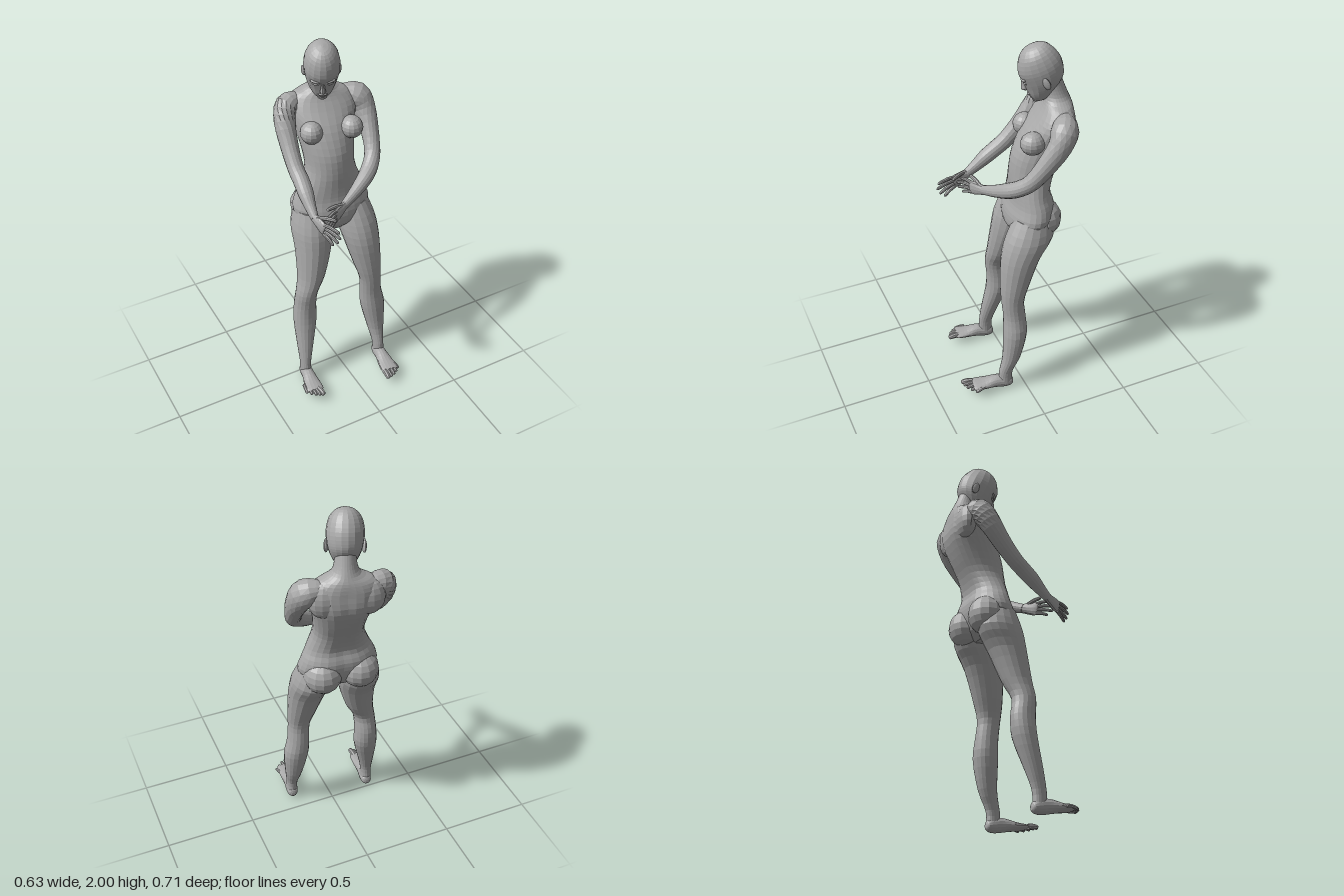
import * as THREE from 'three';

const body = new THREE.MeshStandardMaterial({ color: 0xa8a8a8 });
body.name = 'plain grey';

// Catmull-Rom blend of section rows
function refine(rows, k) {
  const out = [], n = rows.length - 1;
  for (let i = 0; i < n; i++) {
    const [a, b, c, d] = [rows[Math.max(i - 1, 0)], rows[i], rows[i + 1], rows[Math.min(i + 2, n)]];
    for (let s = 0; s < k; s++) {
      const t = s / k;
      out.push(b.map((q, j) => q + 0.5 * t * (c[j] - a[j] + t * (2 * a[j] - 5 * q + 4 * c[j] - d[j]
        + t * (3 * (q - c[j]) + d[j] - a[j])))));
    }
  }
  out.push(rows[n]);
  return out;
}

// Flat-shaded skin over elliptical sections [x, y, z, ru, rv, yaw].
// level: sections stay horizontal (listed top down); otherwise they follow the path.
function loft(name, rows, { sides = 16, steps = 3, level = false, shape = null } = {}) {
  const R = refine(rows, steps), P = R.map(r => new THREE.Vector3(r[0], r[1], r[2]));
  const pos = [], idx = [], up = new THREE.Vector3(0, 1, 0);
  R.forEach((r, i) => {
    const u = new THREE.Vector3(1, 0, 0), v = new THREE.Vector3(0, 0, 1);
    if (level) {
      const a = r[5] || 0;
      u.set(Math.cos(a), 0, Math.sin(a));
      v.set(-Math.sin(a), 0, Math.cos(a));
    } else {
      const t = P[Math.min(i + 1, P.length - 1)].clone().sub(P[Math.max(i - 1, 0)]).normalize();
      u.crossVectors(up, t).normalize();
      v.crossVectors(t, u);
    }
    for (let j = 0; j < sides; j++) {
      const th = j / sides * Math.PI * 2, f = shape ? shape(th, r[1]) : 1;
      const q = P[i].clone().addScaledVector(u, Math.cos(th) * Math.max(r[3], 0.001))
        .addScaledVector(v, Math.sin(th) * Math.max(r[4], 0.001) * f);
      pos.push(q.x, q.y, q.z);
    }
  });
  const last = (R.length - 1) * sides, c0 = pos.length / 3;
  pos.push(...P[0].toArray(), ...P[P.length - 1].toArray());
  for (let j = 0; j < sides; j++) {
    const k = (j + 1) % sides;
    for (let o = 0; o < last; o += sides) {
      idx.push(o + j, o + k, o + sides + j, o + k, o + sides + k, o + sides + j);
    }
    idx.push(c0, k, j, c0 + 1, last + j, last + k);
  }
  const g = new THREE.BufferGeometry();
  g.setAttribute('position', new THREE.Float32BufferAttribute(pos, 3));
  g.setIndex(idx);
  return flat(name, g);
}

function flat(name, geometry) {
  const g = geometry.index ? geometry.toNonIndexed() : geometry;
  g.computeVertexNormals();
  const m = new THREE.Mesh(g, body);
  m.name = name;
  return m;
}

function blob(name, p, s, yaw = 0) {
  const m = flat(name, new THREE.SphereGeometry(1, 14, 10));
  m.position.set(...p);
  m.scale.set(...s);
  m.rotation.y = yaw;
  return m;
}

// Finger or toe: slim tube with a rounded tip
function digit(name, a, b, r, bend) {
  const at = (t, k) => [...a.map((q, i) => q + (b[i] - q) * t + (i === 1 ? bend * Math.sin(Math.PI * t) : 0)), r * k, r * k];
  return loft(name, [at(0, 1), at(0.45, 1), at(0.85, 0.88), at(0.96, 0.65), at(1, 0.15)], { sides: 8, steps: 2 });
}

function makeHead() {
  const head = new THREE.Group();
  head.name = 'head';
  head.add(loft('skull', [
    [0, 0.17, -0.005, 0.006, 0.006], [0, 0.158, -0.004, 0.045, 0.055], [0, 0.12, 0, 0.078, 0.09],
    [0, 0.06, 0.003, 0.092, 0.112], [0, 0.005, 0.003, 0.089, 0.108], [0, -0.035, 0.01, 0.08, 0.098],
    [0, -0.075, 0.03, 0.064, 0.077], [0, -0.108, 0.046, 0.043, 0.052], [0, -0.124, 0.06, 0.016, 0.02],
  ], { level: true, sides: 18 }));
  head.add(loft('nose', [
    [0, 0.022, 0.1, 0.008, 0.01], [0, -0.01, 0.112, 0.01, 0.013],
    [0, -0.034, 0.116, 0.016, 0.018], [0, -0.046, 0.108, 0.012, 0.01],
  ], { level: true, sides: 10 }));
  head.add(blob('upperLip', [0, -0.067, 0.104], [0.024, 0.007, 0.01]));
  head.add(blob('lowerLip', [0, -0.079, 0.1], [0.02, 0.007, 0.01]));
  head.add(blob('chin', [0, -0.108, 0.082], [0.026, 0.018, 0.02]));
  for (const s of [-1, 1]) {
    head.add(blob('brow', [s * 0.036, 0.026, 0.1], [0.03, 0.008, 0.01], s * 0.35));
    head.add(blob('eye', [s * 0.036, 0.006, 0.098], [0.018, 0.008, 0.008], s * 0.35));
    head.add(blob('ear', [s * 0.09, -0.012, -0.008], [0.01, 0.034, 0.02], s * -0.4));
  }
  head.position.set(0.012, 1.84, -0.185);
  head.rotation.set(0.38, -0.42, 0, 'YXZ');
  return head;
}

export function createModel() {
  const model = new THREE.Group();
  model.name = 'figure';
  model.add(makeHead());

  // Neck, trunk and pelvis, with a groove along the spine
  const spine = (th, y) => {
    const d = (th - Math.PI * 1.5) / 0.3;
    return 1 - 0.1 * Math.exp(-d * d) * THREE.MathUtils.smoothstep(1.72 - y, 0, 0.1);
  };
  model.add(loft('torso', [
    [0.02, 1.84, -0.21, 0.05, 0.056, 0.3], [0.03, 1.77, -0.232, 0.054, 0.058, 0.3],
    [0.035, 1.72, -0.245, 0.075, 0.066, 0.25], [0.035, 1.68, -0.248, 0.15, 0.08, 0.25],
    [0.035, 1.62, -0.235, 0.185, 0.105, 0.24], [0.03, 1.53, -0.205, 0.163, 0.138, 0.2],
    [0.025, 1.42, -0.157, 0.14, 0.14, 0.15], [0.02, 1.315, -0.122, 0.134, 0.12, 0.12],
    [0.017, 1.22, -0.106, 0.166, 0.106, 0.1], [0.015, 1.15, -0.112, 0.198, 0.118, 0.1],
    [0.015, 1.08, -0.1, 0.213, 0.125, 0.1], [0.015, 1.01, -0.085, 0.17, 0.11, 0.1],
    [0.015, 0.965, -0.075, 0.06, 0.07, 0.1],
  ], { level: true, sides: 28, shape: spine }));
  model.add(blob('chestRight', [-0.08, 1.528, -0.125], [0.06, 0.06, 0.062], -0.3));
  model.add(blob('chestLeft', [0.125, 1.532, -0.077], [0.06, 0.06, 0.065], -0.1));
  model.add(blob('shoulderBladeRight', [-0.065, 1.59, -0.295], [0.085, 0.1, 0.055], -0.25));
  model.add(blob('shoulderBladeLeft', [0.145, 1.59, -0.25], [0.085, 0.1, 0.055], -0.25));
  model.add(blob('buttockRight', [-0.085, 1.06, -0.165], [0.102, 0.105, 0.1], -0.1));
  model.add(blob('buttockLeft', [0.115, 1.06, -0.145], [0.102, 0.105, 0.1], -0.1));

  // Legs, top down
  model.add(loft('leftLeg', [
    [0.125, 1.09, -0.09, 0.09, 0.1], [0.14, 0.98, -0.06, 0.107, 0.13], [0.15, 0.865, -0.005, 0.1, 0.108],
    [0.168, 0.7, 0.037, 0.077, 0.08], [0.18, 0.6, 0.053, 0.061, 0.063], [0.188, 0.5, 0.047, 0.062, 0.062],
    [0.202, 0.39, 0.05, 0.07, 0.066], [0.212, 0.23, 0.073, 0.048, 0.052],
    [0.212, 0.125, 0.108, 0.031, 0.04], [0.215, 0.05, 0.113, 0.032, 0.04],
  ], { level: true, sides: 18 }));
  model.add(loft('rightLeg', [
    [-0.1, 1.09, -0.105, 0.09, 0.1], [-0.11, 0.98, -0.095, 0.107, 0.128], [-0.12, 0.865, -0.055, 0.1, 0.103],
    [-0.152, 0.7, -0.02, 0.077, 0.08], [-0.188, 0.6, -0.005, 0.061, 0.064], [-0.195, 0.5, -0.018, 0.062, 0.066],
    [-0.2, 0.39, -0.012, 0.066, 0.063], [-0.222, 0.23, 0.025, 0.045, 0.05],
    [-0.234, 0.125, 0.047, 0.031, 0.04], [-0.234, 0.045, 0.05, 0.032, 0.04],
  ], { level: true, sides: 18 }));

  // Feet: side, heel, ball, first and last toe tip
  const feet = [
    ['left', [0.218, 0.045, 0.075], [0.188, 0.064, 0.285], [0.145, 0.066, 0.355], [0.24, 0.052, 0.302]],
    ['right', [-0.228, 0.036, 0.01], [-0.262, 0.056, 0.215], [-0.237, 0.058, 0.283], [-0.312, 0.048, 0.222]],
  ];
  for (const [side, heel, ball, big, small] of feet) {
    const mix = (t, dy, w, h) => [...heel.map((q, i) => q + (ball[i] - q) * t + (i === 1 ? dy : 0)), w, h];
    model.add(loft(side + 'Foot', [
      mix(-0.03, 0, 0.01, 0.012), mix(0.02, 0, 0.026, 0.028), mix(0.18, 0.004, 0.034, 0.039),
      mix(0.45, 0.008, 0.036, 0.037), mix(0.75, 0.003, 0.046, 0.024), mix(1, 0, 0.05, 0.016), mix(1.08, 0, 0.044, 0.01),
    ]));
    for (let i = 0; i < 5; i++) {
      const t = i / 4, tip = big.map((q, k) => q + (small[k] - q) * t);
      tip[2] += 0.012 * Math.sin(Math.PI * t);
      const base = [ball[0] + (tip[0] - ball[0]) * 0.8, ball[1], tip[2] - 0.06];
      model.add(digit(side + 'Toe', base, tip, i ? 0.0105 : 0.0155, 0.004));
    }
  }

  // Arms, shoulder to wrist
  model.add(loft('leftArm', [
    [0.15, 1.645, -0.235, 0.045, 0.045], [0.22, 1.625, -0.205, 0.07, 0.072], [0.25, 1.56, -0.165, 0.058, 0.063],
    [0.245, 1.46, -0.095, 0.047, 0.052], [0.225, 1.375, -0.03, 0.042, 0.044], [0.185, 1.325, 0.018, 0.043, 0.042],
    [0.13, 1.288, 0.057, 0.041, 0.041], [0.05, 1.247, 0.095, 0.031, 0.033], [-0.03, 1.213, 0.128, 0.02, 0.026],
  ]));
  model.add(loft('rightArm', [
    [-0.08, 1.645, -0.28, 0.045, 0.045], [-0.145, 1.63, -0.268, 0.063, 0.068], [-0.18, 1.565, -0.228, 0.056, 0.062],
    [-0.193, 1.465, -0.155, 0.047, 0.052], [-0.2, 1.38, -0.075, 0.042, 0.045], [-0.2, 1.335, -0.01, 0.042, 0.042],
    [-0.204, 1.295, 0.045, 0.04, 0.04], [-0.208, 1.25, 0.1, 0.029, 0.032], [-0.21, 1.213, 0.15, 0.02, 0.026],
  ]));

  // Hands: palm ends at the knuckles, then thumb and four fingers
  const hands = [
    ['left', [-0.025, 1.215, 0.126], [-0.1, 1.198, 0.168],
      [[-0.145, 1.243, 0.157], [-0.165, 1.225, 0.2], [-0.182, 1.195, 0.217], [-0.175, 1.168, 0.214], [-0.15, 1.148, 0.2]]],
    ['right', [-0.21, 1.215, 0.145], [-0.198, 1.188, 0.228],
      [[-0.142, 1.24, 0.255], [-0.165, 1.22, 0.33], [-0.163, 1.19, 0.338], [-0.168, 1.155, 0.322], [-0.18, 1.123, 0.292]]],
  ];
  for (const [side, wrist, knuckle, tips] of hands) {
    const at = (t, w, h) => [...wrist.map((q, i) => q + (knuckle[i] - q) * t), w, h];
    model.add(loft(side + 'Palm', [
      at(-0.1, 0.019, 0.025), at(0.3, 0.018, 0.032), at(0.75, 0.016, 0.04), at(1, 0.012, 0.038), at(1.08, 0.006, 0.03),
    ], { sides: 12 }));
    tips.forEach((tip, i) => {
      const base = i ? at(0.94, 0, 0).slice(0, 3) : at(0.3, 0, 0).slice(0, 3);
      base[1] += i ? 0.047 - 0.019 * i : 0.02;
      model.add(digit(side + (i ? 'Finger' : 'Thumb'), base, tip, i ? 0.0095 : 0.0115, 0.006));
    });
  }
  return model;
}
